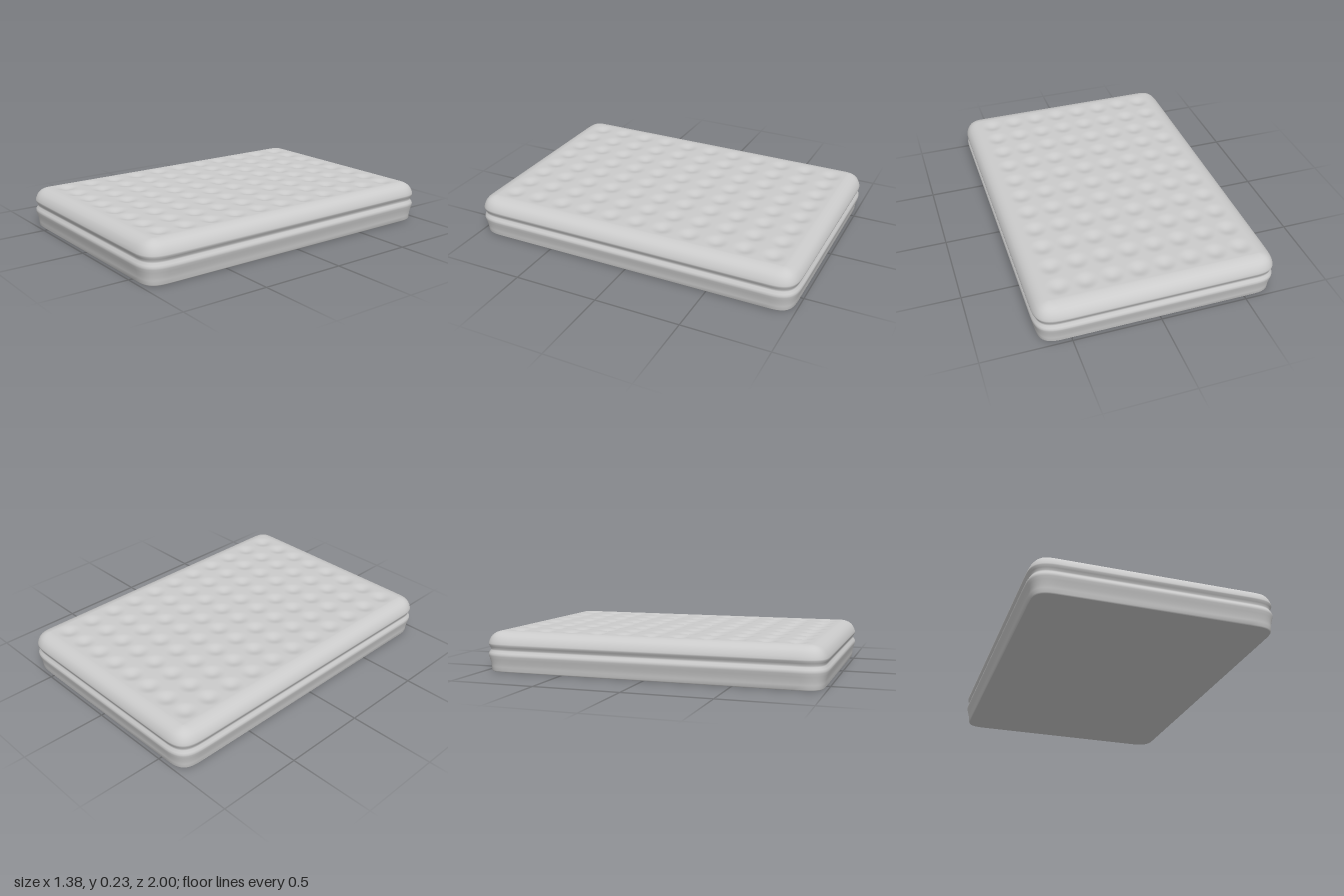
import * as THREE from 'three';

const HX = 0.69, HZ = 1.0, TOP = 0.235;   // half width, half length, height
const INSET = 0.095;                      // rim width around the quilted panel

// One horizontal loop of the body: rectangle with soft superelliptic corners.
function outline(inset, r, n = 14) {
  const pts = [], e = 2 / 3.6;
  for (let q = 0; q < 4; q++) {
    for (let i = 0; i <= n; i++) {
      const a = (q + i / n) * Math.PI / 2, c = Math.cos(a), s = Math.sin(a);
      const sx = q === 0 || q === 3 ? 1 : -1, sz = q < 2 ? 1 : -1;
      pts.push([
        sx * (HX - inset - r + r * Math.pow(Math.abs(c), e)),
        sz * (HZ - inset - r + r * Math.pow(Math.abs(s), e)),
      ]);
    }
  }
  return pts;
}

// Skin between loops, each given as [y, inset, corner radius].
function loft(rings) {
  const pos = [], idx = [];
  let n = 0;
  rings.forEach(([y, inset, r]) => {
    const o = outline(inset, r);
    n = o.length;
    o.forEach(([x, z]) => pos.push(x, y, z));
  });
  for (let k = 0; k < rings.length - 1; k++) {
    for (let i = 0; i < n; i++) {
      const j = (i + 1) % n, a = k * n + i, b = k * n + j;
      idx.push(a, a + n, b, b, a + n, b + n);
    }
  }
  const g = new THREE.BufferGeometry();
  g.setAttribute('position', new THREE.Float32BufferAttribute(pos, 3));
  g.setIndex(idx);
  g.computeVertexNormals();
  return g;
}

// Depth of the tufted dimples: 8 columns by 11 rows.
function dimple(x, z) {
  const sx = 0.149, sz = 0.165, radius = 0.072;
  const cx = THREE.MathUtils.clamp(Math.floor(x / sx) + 0.5, -3.5, 3.5) * sx;
  const cz = THREE.MathUtils.clamp(Math.round(z / sz), -5, 5) * sz;
  const d = Math.hypot(x - cx, z - cz) / radius;
  return d < 1 ? 0.013 * (0.5 + 0.5 * Math.cos(Math.PI * d)) : 0;
}

export function createModel() {
  const group = new THREE.Group();
  group.name = 'mattress';
  const mat = new THREE.MeshStandardMaterial({ color: 0xcccccc });
  const add = (geo, name) => {
    const m = new THREE.Mesh(geo, mat);
    m.name = name;
    group.add(m);
  };

  // Side wall: lower border, waist groove, piping and rounded upper rim
  const sides = [
    [0, 0.024], [0.006, 0.018], [0.03, 0.016], [0.05, 0.013], [0.075, 0.006],
    [0.092, 0.001], [0.102, 0], [0.112, 0.004], [0.125, 0.014], [0.133, 0.015],
    [0.145, 0.009], [0.157, 0.002], [0.165, 0.002], [0.18, 0.007],
    [0.197, 0.016], [0.211, 0.028], [0.222, 0.044], [0.229, 0.06],
    [0.233, 0.076], [TOP, 0.088], [TOP, INSET],
  ].map(([y, d]) => [y, d, 0.19 * (1 - d / INSET)]);
  add(loft(sides), 'sideWall');

  // Quilted top panel
  const top = new THREE.PlaneGeometry(2 * (HX - INSET), 2 * (HZ - INSET), 112, 168);
  top.rotateX(-Math.PI / 2);
  const p = top.attributes.position;
  for (let i = 0; i < p.count; i++) p.setY(i, TOP - dimple(p.getX(i), p.getZ(i)));
  top.computeVertexNormals();
  add(top, 'quiltedTop');

  // Flat underside
  const base = new THREE.Shape(outline(sides[0][1], sides[0][2]).map(([x, z]) => new THREE.Vector2(x, z)));
  add(new THREE.ShapeGeometry(base).rotateX(Math.PI / 2), 'underside');

  return group;
}
